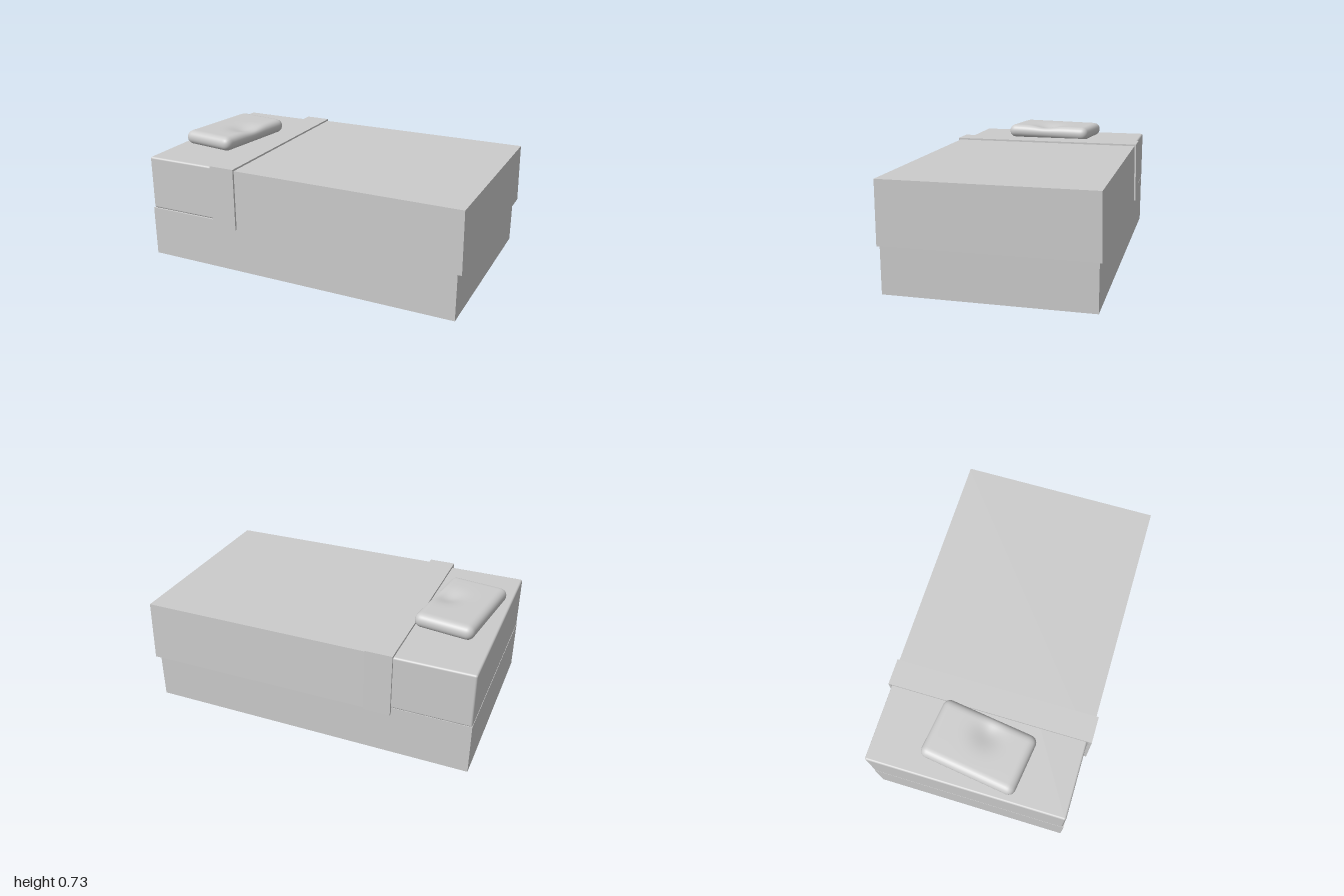
import * as THREE from 'three';
import { mergeVertices } from 'three/addons/utils/BufferGeometryUtils.js';
import { RoundedBoxGeometry } from 'three/addons/geometries/RoundedBoxGeometry.js';

const material = new THREE.MeshStandardMaterial({ color: 0xcccccc });

function addPart(group, name, geometry, x = 0, y = 0, z = 0) {
  const mesh = new THREE.Mesh(geometry, material);
  mesh.name = name;
  mesh.position.set(x, y, z);
  group.add(mesh);
  return mesh;
}

// Extrude a [z, y] outline along the bed's length, from x0 to x1.
function extrudeAlongX(outline, x0, x1) {
  const shape = new THREE.Shape(outline.map(([z, y]) => new THREE.Vector2(-z, y)));
  return new THREE.ExtrudeGeometry(shape, { depth: x1 - x0, bevelEnabled: false })
    .rotateY(Math.PI / 2)
    .translate(x0, 0, 0);
}

// Outer outline of a cloth hanging over both sides; the back side flares slightly.
function drape(front, back, backHem, top, hem) {
  return [[front, hem], [front, top], [back, top], [backHem, hem]];
}

// Rounded block with a soft dent pressed into its top.
function pillowGeometry(w, h, d) {
  const geometry = new THREE.BoxGeometry(w, h, d, 28, 8, 44);
  geometry.deleteAttribute('uv');
  geometry.deleteAttribute('normal');
  const merged = mergeVertices(geometry);
  const pos = merged.attributes.position;
  const p = new THREE.Vector3();
  const core = new THREE.Vector3();
  const r = h / 2;
  const limit = new THREE.Vector3(w / 2 - r, 0.001, d / 2 - r);
  for (let i = 0; i < pos.count; i++) {
    p.fromBufferAttribute(pos, i);
    core.copy(p).clamp(limit.clone().negate(), limit);
    p.sub(core).setLength(r).add(core);
    if (p.y > 0) {
      const dx = (p.x - 0.09) / 0.08;
      const dz = (p.z - 0.02) / 0.08;
      p.y -= 0.022 * (p.y / r) * Math.exp(-dx * dx - dz * dz);
    }
    pos.setXYZ(i, p.x, p.y, p.z);
  }
  merged.computeVertexNormals();
  return merged;
}

export function createModel() {
  const bed = new THREE.Group();
  bed.name = 'bed';

  // Base and mattress
  addPart(bed, 'base', new THREE.BoxGeometry(1.975, 0.31, 1.19), -0.0125, 0.155, 0.004);
  addPart(bed, 'mattress', new RoundedBoxGeometry(1.975, 0.333, 1.186, 3, 0.012), -0.0125, 0.4755, 0);

  // Blanket: draped shell over the mattress, closed by a panel at the foot
  const outer = drape(0.606, -0.6, -0.609, 0.646, 0.28);
  const inner = drape(0.599, -0.592, -0.592, 0.64, 0.28).reverse();
  const blanket = new THREE.Group();
  blanket.name = 'blanket';
  addPart(blanket, 'blanketDrape', extrudeAlongX([...outer, ...inner], -0.54, 0.985));
  const foot = extrudeAlongX(outer, 0.985, 0.995);
  const footPos = foot.attributes.position;
  for (let i = 0; i < footPos.count; i++) {
    // The foot panel leans out towards its hem
    if (footPos.getX(i) > 0.99 && footPos.getY(i) < 0.3) footPos.setX(i, 1);
  }
  foot.computeVertexNormals();
  addPart(blanket, 'footPanel', foot);
  bed.add(blanket);

  // Turned-back band at the head end of the blanket
  const foldOuter = drape(0.619, -0.61, -0.619, 0.657, 0.278);
  const foldInner = drape(0.604, -0.597, -0.606, 0.643, 0.278).reverse();
  addPart(bed, 'blanketFold', extrudeAlongX([...foldOuter, ...foldInner], -0.543, -0.385));

  // Pillow, lying slightly askew
  const pillow = addPart(bed, 'pillow', pillowGeometry(0.36, 0.086, 0.58), -0.752, 0.685, 0.012);
  pillow.rotation.y = -0.135;

  return bed;
}
